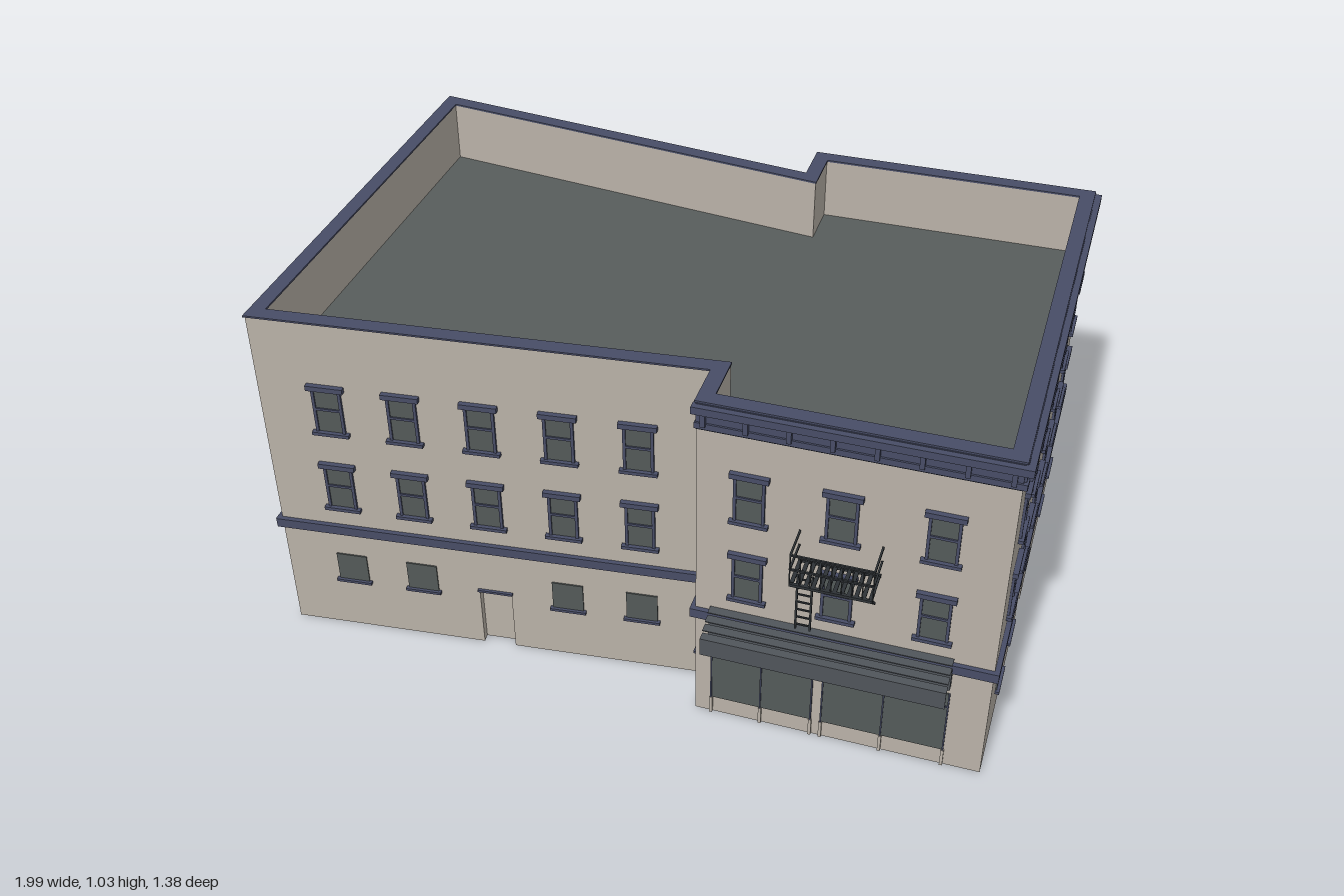
import * as THREE from 'three';

const mat = (name, color, side = THREE.FrontSide) =>
  Object.assign(new THREE.MeshStandardMaterial({ color, side }), { name });

const M = {
  wall: mat('stone wall', 0xbab2a8),
  trim: mat('navy trim', 0x484d66),
  glass: mat('dark glass', 0x545a59),
  roof: mat('grey roof', 0x585d5c, THREE.DoubleSide),
  awning: mat('slate awning', 0x50555b),
  iron: mat('black iron', 0x2e3236),
};

const T = 0.035;      // wall thickness
const TOP = 1.026;    // top of the masonry
const ROOF_Y = 0.85;
const DOOR_W = 0.09, DOOR_H = 0.195;

// Footprint corners [x, z], anticlockwise from the front right as seen from above
const PLAN = [
  [-0.985, 0.585], [0.2, 0.455], [0.2, 0.585], [0.972, 0.585],
  [0.972, -0.68], [0.18, -0.67], [0.18, -0.54], [-0.985, -0.68],
];
const N = PLAN.length;
const COLS = [-0.8, -0.6, -0.395, -0.19, 0.015];

// One entry per wall: positions run along x or z
const WALLS = [
  { name: 'frontWall', axis: 0, upper: COLS, lower: [-0.8, -0.6, -0.19, 0.015], doors: [-0.395], band: true },
  { name: 'frontStep', axis: 1, upper: [], lower: [], doors: [0.53], band: true },
  { name: 'shopWall', axis: 0, upper: [0.335, 0.565, 0.81], lower: [], doors: [], band: true, cornice: 8 },
  { name: 'rightWall', axis: 1, upper: [0.41, 0.225, 0.04, -0.145, -0.33, -0.515],
    lower: [0.41, 0.225, -0.33, -0.515], doors: [-0.053], band: true, cornice: 13 },
  { name: 'blankBackWall', axis: 0, upper: [], lower: [], doors: [] },
  { name: 'backStep', axis: 1, upper: [], lower: [], doors: [-0.605], band: true },
  { name: 'backWall', axis: 0, upper: COLS, lower: [-0.8, -0.6, -0.19, 0.015], doors: [-0.395], band: true },
  { name: 'leftWall', axis: 1, upper: [0.45, 0.22, -0.015, -0.25, -0.5], lower: [0.21, -0.5], doors: [0.46, -0.18], band: true },
];

// Box given by its limits
function box(parent, name, m, x0, x1, y0, y1, z0, z1) {
  const mesh = new THREE.Mesh(new THREE.BoxGeometry(x1 - x0, y1 - y0, z1 - z0), m);
  mesh.position.set((x0 + x1) / 2, (y0 + y1) / 2, (z0 + z1) / 2);
  mesh.name = name;
  parent.add(mesh);
  return mesh;
}

// Thin square bar between two points
function bar(parent, name, a, b, t = 0.005) {
  const va = new THREE.Vector3(...a), vb = new THREE.Vector3(...b);
  const mesh = new THREE.Mesh(new THREE.BoxGeometry(t, t, va.distanceTo(vb)), M.iron);
  mesh.position.copy(va).add(vb).multiplyScalar(0.5);
  mesh.lookAt(vb);
  mesh.name = name;
  parent.add(mesh);
}

const edge = (i) => {
  const p = PLAN[(i + N) % N], q = PLAN[(i + 1) % N];
  const len = Math.hypot(q[0] - p[0], q[1] - p[1]);
  return { p, len, d: [(q[0] - p[0]) / len, (q[1] - p[1]) / len] };
};

// Mitre shift per unit of thickness at corner i (negative at inward corners)
function mitre(i) {
  const a = edge(i - 1).d, b = edge(i % N).d;
  return Math.tan(Math.atan2(a[1] * b[0] - a[0] * b[1], a[0] * b[0] + a[1] * b[1]) / 2);
}

// Footprint moved inward by t, in shape coordinates (x, -z)
const outline = (t) => PLAN.map((p, i) => {
  const { d } = edge(i), m = mitre(i);
  return new THREE.Vector2(p[0] + t * (d[0] * m + d[1]), -(p[1] + t * (d[1] * m - d[0])));
});

// Mitred wall slab with doorways cut up from the ground
function wallSlab(i, len, doors) {
  const s = new THREE.Shape();
  s.moveTo(0, 0);
  for (const u of [...doors].sort((a, b) => a - b)) {
    s.lineTo(u - DOOR_W / 2, 0);
    s.lineTo(u - DOOR_W / 2, DOOR_H);
    s.lineTo(u + DOOR_W / 2, DOOR_H);
    s.lineTo(u + DOOR_W / 2, 0);
  }
  s.lineTo(len, 0);
  s.lineTo(len, TOP);
  s.lineTo(0, TOP);
  const geo = new THREE.ExtrudeGeometry(s, { depth: T, bevelEnabled: false }).translate(0, 0, -T);
  const pos = geo.attributes.position, m0 = mitre(i) * T, m1 = mitre(i + 1) * T;
  for (let k = 0; k < pos.count; k++) {
    if (pos.getZ(k) > -T / 2) continue;
    if (pos.getX(k) < 1e-4) pos.setX(k, m0);
    else if (pos.getX(k) > len - 1e-4) pos.setX(k, len - m1);
  }
  geo.computeVertexNormals();
  return new THREE.Mesh(geo, M.wall);
}

// Sash window with frame, mid rail, lintel and sill
function sashWindow(g, u, y) {
  const w = 0.036, h = 0.14;
  box(g, 'windowGlass', M.glass, u - w, u + w, y, y + h, 0, 0.003);
  for (const s of [-1, 1]) {
    const x = u + s * w;
    box(g, 'windowFrame', M.trim, x - 0.004, x + 0.004, y, y + h, 0, 0.007);
  }
  box(g, 'windowRail', M.trim, u - w, u + w, y + 0.07, y + 0.077, 0, 0.007);
  box(g, 'windowLintel', M.trim, u - 0.05, u + 0.05, y + h - 0.005, y + h + 0.01, 0, 0.014);
  box(g, 'windowSill', M.trim, u - 0.05, u + 0.05, y - 0.008, y + 0.002, 0, 0.014);
}

function smallWindow(g, u) {
  box(g, 'lowerWindowGlass', M.glass, u - 0.043, u + 0.043, 0.17, 0.262, 0, 0.004);
  box(g, 'lowerWindowSill', M.trim, u - 0.05, u + 0.05, 0.165, 0.173, 0, 0.012);
}

function door(g, u) {
  const a = u - DOOR_W / 2, b = u + DOOR_W / 2;
  box(g, 'doorPanel', M.wall, a, b, 0, DOOR_H, -0.03, -0.023);
  box(g, 'doorInside', M.glass, a, b, 0, DOOR_H, -T, -0.03);
  box(g, 'doorCap', M.trim, a - 0.004, b + 0.004, DOOR_H - 0.002, DOOR_H + 0.005, -0.02, 0.008);
}

function cornice(g, len, count, start, end) {
  box(g, 'corniceBoard', M.trim, 0, len, 0.95, TOP, 0, 0.006);
  box(g, 'corniceFoot', M.trim, -0.008 * start, len + 0.01 * end, 0.955, 0.972, 0, 0.011);
  box(g, 'corniceLedge', M.trim, -0.02 * start, len + 0.022 * end, 1.003, 1.024, 0, 0.022);
  for (let k = 0; k < count; k++) {
    const u = 0.02 + k * (len - 0.04) / (count - 1);
    box(g, 'corniceBracket', M.trim, u - 0.006, u + 0.006, 0.966, 1.003, 0, 0.018);
  }
}

// Paired shop windows with mullions and transoms
function shopfront(g) {
  for (const [a, mid, b] of [[0.245, 0.38, 0.517], [0.545, 0.705, 0.87]]) {
    box(g, 'shopGlass', M.glass, a, b, 0.055, 0.26, 0.585, 0.588);
    box(g, 'shopTransom', M.trim, a, b, 0.212, 0.217, 0.585, 0.591);
    for (const x of [a, mid, b]) {
      box(g, 'shopMullion', M.trim, x - 0.002, x + 0.002, 0.055, 0.26, 0.585, 0.591);
      box(g, 'shopPost', M.wall, x - 0.004, x + 0.004, 0, 0.055, 0.585, 0.592);
    }
  }
}

// Stepped slats with a hanging front
function awning(g) {
  for (let k = 0; k < 4; k++) {
    const y = 0.384 - k * 0.01, z = 0.587 + k * 0.023;
    box(g, 'awningSlat', M.awning, 0.24, 0.87, y - 0.003, y, z, z + 0.025);
  }
  box(g, 'awningValance', M.awning, 0.24, 0.87, 0.3, 0.355, 0.677, 0.681);
  box(g, 'awningBacking', M.awning, 0.24, 0.87, 0.288, 0.36, 0.585, 0.604);
}

// Balcony with railings, brackets and a ladder
function fireEscape(g) {
  const x0 = 0.465, x1 = 0.67, z0 = 0.59, z1 = 0.683, y = 0.61;
  for (let k = 0; k < 12; k++) {
    const x = x0 + k * (x1 - x0 - 0.01) / 11;
    box(g, 'balconySlat', M.iron, x, x + 0.01, y - 0.004, y, z0, z1);
  }
  for (const z of [z0, z1]) bar(g, 'balconyBeam', [x0, y - 0.003, z], [x1, y - 0.003, z], 0.008);
  for (const h of [0.655, 0.7]) {
    bar(g, 'frontRail', [x0, h, z1], [x1, h, z1]);
    for (const x of [x0, x1]) bar(g, 'sideRail', [x, h, z0], [x, h, z1]);
  }
  for (let k = 0; k < 9; k++) {
    const x = x0 + k * (x1 - x0) / 8;
    bar(g, 'baluster', [x, y, z1], [x, 0.7, z1], 0.003);
  }
  for (const x of [x0 + 0.005, x1 - 0.01]) bar(g, 'balconyBracket', [x, y, z1], [x, 0.52, z0 + 0.005], 0.007);
  for (const x of [0.477, 0.514]) bar(g, 'ladderSide', [x, 0.43, 0.645], [x, y, 0.645]);
  for (let k = 0; k < 7; k++) bar(g, 'ladderRung', [0.477, 0.445 + k * 0.025, 0.645], [0.514, 0.445 + k * 0.025, 0.645], 0.004);
}

export function createModel() {
  const model = new THREE.Group();
  model.name = 'cornerBuilding';
  const part = (name) => {
    const g = new THREE.Group();
    g.name = name;
    model.add(g);
    return g;
  };

  // Walls: local x runs along the wall, local z points outward
  WALLS.forEach((w, i) => {
    const { p, len, d } = edge(i);
    const along = (v) => (v - p[w.axis]) / d[w.axis];
    const g = part(w.name);
    g.position.set(p[0], 0, p[1]);
    g.rotation.y = Math.atan2(-d[1], d[0]);
    const doors = w.doors.map(along);
    const slab = wallSlab(i, len, doors);
    slab.name = w.name + 'Slab';
    g.add(slab);
    for (const u of w.upper.map(along)) for (const y of [0.435, 0.69]) sashWindow(g, u, y);
    w.lower.map(along).forEach((u) => smallWindow(g, u));
    doors.forEach((u) => door(g, u));
    if (w.band) box(g, 'bandCourse', M.trim, -0.012, len + (i === 3 ? 0 : 0.012), 0.342, 0.37, 0, 0.013);
    if (w.cornice) cornice(g, len, w.cornice, i === 3 ? 1 : 0.4, i === 3 ? 0 : 1);
  });

  // Parapet cap and sunken roof
  const rim = new THREE.Shape(outline(-0.004));
  rim.holes.push(new THREE.Path(outline(T + 0.002)));
  const cap = new THREE.Mesh(new THREE.ExtrudeGeometry(rim, { depth: 0.005, bevelEnabled: false }), M.trim);
  cap.rotation.x = -Math.PI / 2;
  cap.position.y = TOP;
  cap.name = 'parapetCap';
  const roof = new THREE.Mesh(new THREE.ShapeGeometry(new THREE.Shape(outline(T - 0.003))), M.roof);
  roof.rotation.x = -Math.PI / 2;
  roof.position.y = ROOF_Y;
  roof.name = 'roof';
  model.add(cap, roof);

  shopfront(part('shopfront'));
  awning(part('awning'));
  fireEscape(part('fireEscape'));
  return model;
}
